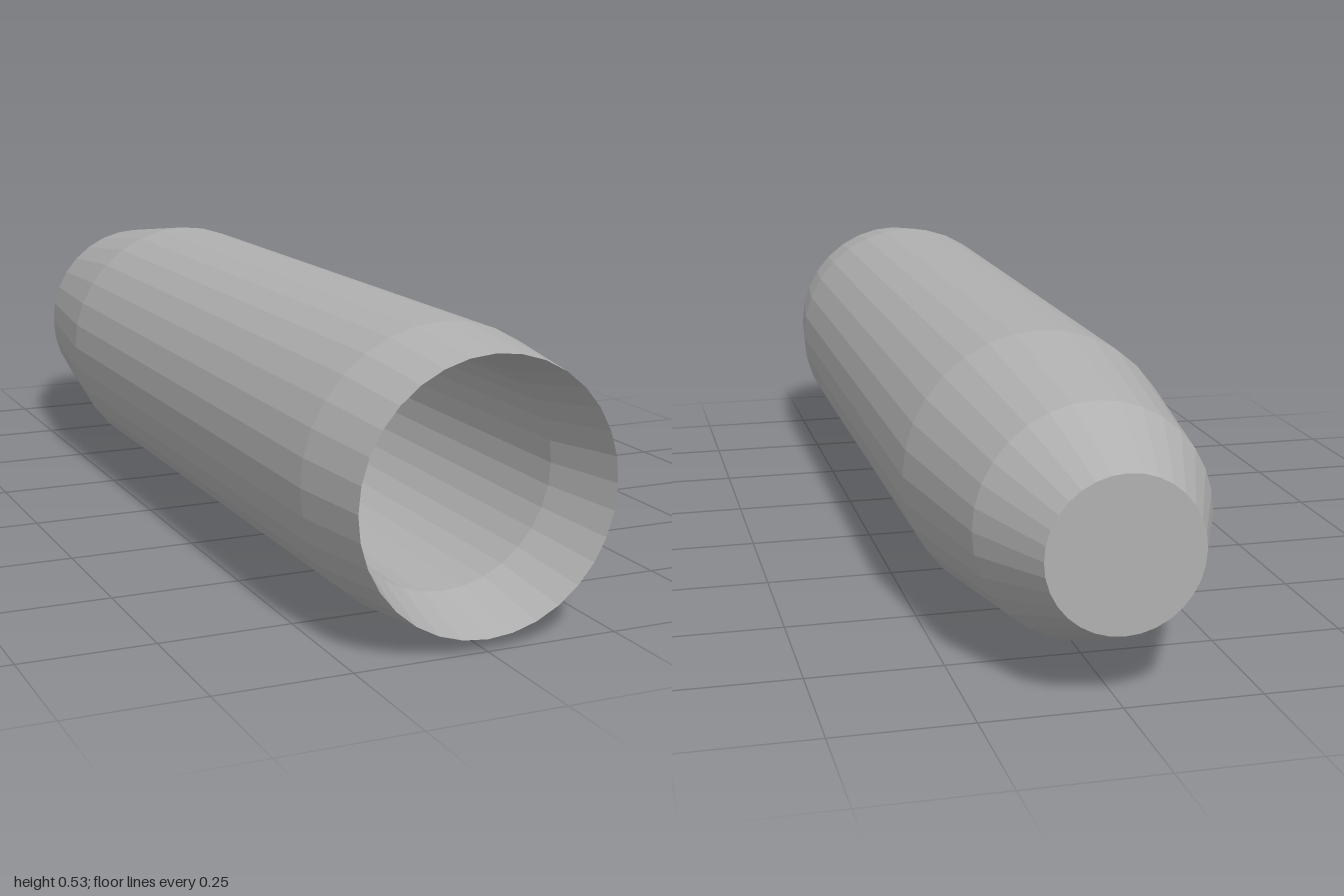
import * as THREE from 'three';

const SIDES = 32;
const AXIS_Y = 0.267;

// Surface of revolution around the z axis; points are [radius, z]
function turned(name, points, material) {
  const profile = points.map(([r, z]) => new THREE.Vector2(r, z));
  const geometry = new THREE.LatheGeometry(profile, SIDES);
  geometry.rotateX(Math.PI / 2);
  const mesh = new THREE.Mesh(geometry, material);
  mesh.name = name;
  return mesh;
}

// Skewed cone closing the bore, its tip off to one side
function skewedCone(name, radius, z, tip, material) {
  const positions = [];
  const rim = (i) => {
    const a = (i / SIDES) * Math.PI * 2;
    return [radius * Math.cos(a), radius * Math.sin(a), z];
  };
  for (let i = 0; i < SIDES; i++) positions.push(...tip, ...rim(i), ...rim(i + 1));
  const geometry = new THREE.BufferGeometry();
  geometry.setAttribute('position', new THREE.Float32BufferAttribute(positions, 3));
  geometry.computeVertexNormals();
  const mesh = new THREE.Mesh(geometry, material);
  mesh.name = name;
  return mesh;
}

export function createModel() {
  const grey = new THREE.MeshStandardMaterial({ color: 0xb0b0b0, flatShading: true, side: THREE.DoubleSide });
  grey.name = 'grey';

  const group = new THREE.Group();
  group.name = 'hollowCasing';

  // Outer shell with blunt tapered nose and slightly tapered mouth
  group.add(turned('outerShell', [
    [0.14, -1], [0.217, -0.82], [0.267, -0.47], [0.267, 0.82], [0.245, 1],
  ], grey));

  // Flat disc at the nose
  group.add(turned('noseCap', [[0, -1], [0.14, -1]], grey));

  // Bevelled mouth and bore
  group.add(turned('bore', [
    [0.245, 1], [0.211, 0.84], [0.211, -0.47], [0.194, -0.82],
  ], grey));

  group.add(skewedCone('boreEnd', 0.194, -0.82, [0.14, 0, -0.995], grey));

  group.children.forEach((part) => { part.position.y = AXIS_Y; });
  return group;
}
